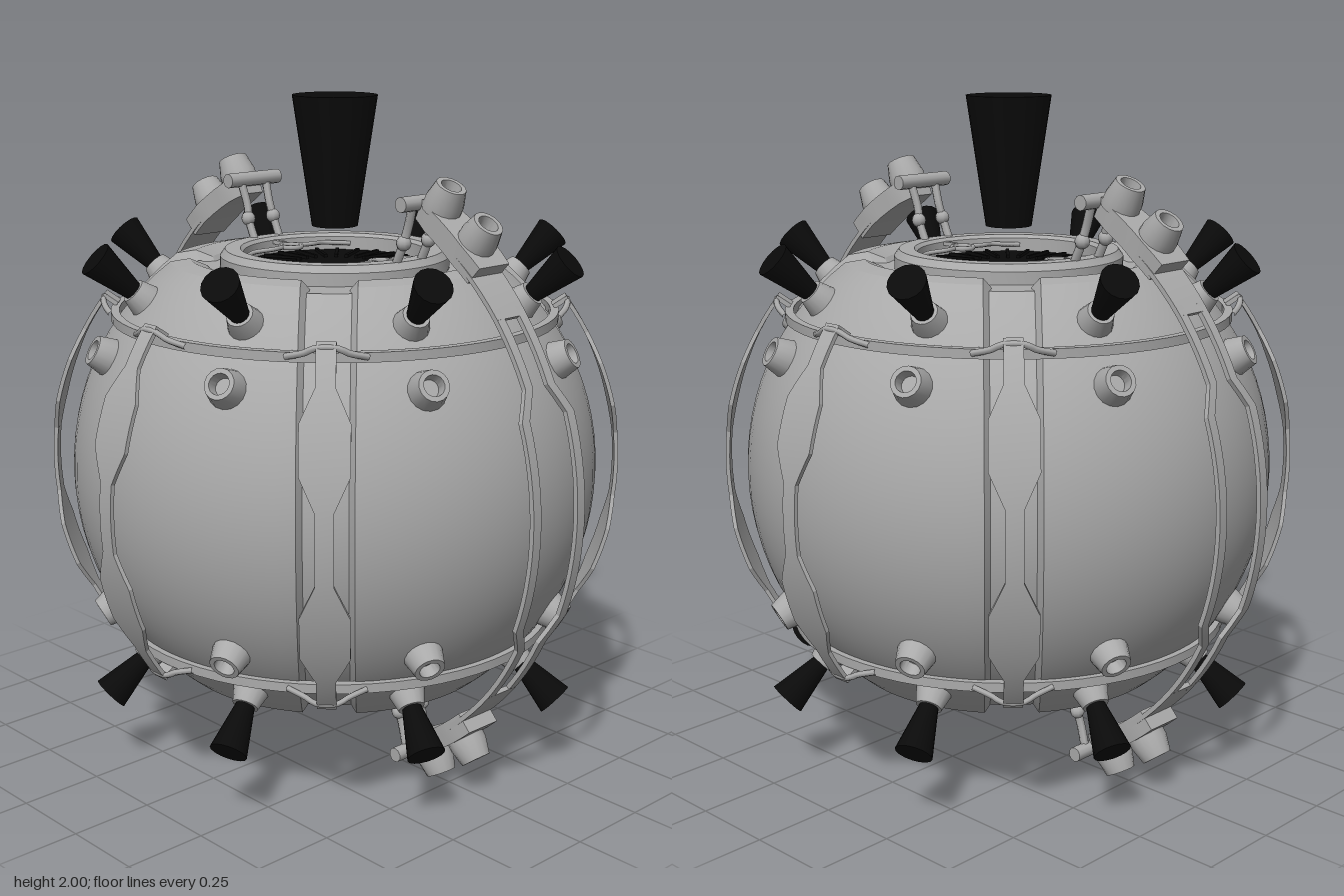
import * as THREE from 'three';
import { toCreasedNormals } from 'three/addons/utils/BufferGeometryUtils.js';

const rad = THREE.MathUtils.degToRad;
const V = (x, y, z) => new THREE.Vector3(x, y, z);

export function createModel() {
  const grey = new THREE.MeshStandardMaterial({ color: 0xaaaaaa });
  grey.name = 'grey metal';
  const black = new THREE.MeshStandardMaterial({ color: 0x0a0a0a });
  black.name = 'black';

  const model = new THREE.Group();
  model.name = 'sphericalCraft';
  const body = new THREE.Group();
  body.name = 'body';
  body.position.y = 0.9;
  model.add(body);

  const add = (parent, name, geo, mat = grey) => {
    const m = new THREE.Mesh(geo, mat);
    m.name = name;
    parent.add(m);
    return m;
  };
  const lathe = (pts, seg) =>
    toCreasedNormals(new THREE.LatheGeometry(pts.map(p => new THREE.Vector2(...p)), seg), 0.5);
  const tube = (pts, r, n = 16) =>
    new THREE.TubeGeometry(new THREE.CatmullRomCurve3(pts), n, r, 6);
  const fromArrays = (pos, idx, crease) => {
    const g = new THREE.BufferGeometry();
    g.setAttribute('position', new THREE.Float32BufferAttribute(pos, 3));
    g.setIndex(idx);
    return toCreasedNormals(g, crease);
  };

  // Curved strip: keys are [elevation, zMin, zMax], swept round a circle between two radii
  const strip = (r0, r1, keys) => {
    const pos = [], idx = [], secs = [];
    keys.forEach((k, i) => {
      if (i) {
        const p = keys[i - 1], n = Math.max(1, Math.ceil((k[0] - p[0]) / 3));
        for (let s = 1; s <= n; s++) secs.push(k.map((v, c) => p[c] + (v - p[c]) * s / n));
      } else secs.push(k);
    });
    secs.forEach(([e, z0, z1], i) => {
      const c = Math.cos(rad(e)), s = Math.sin(rad(e));
      for (const [r, z] of [[r0, z0], [r0, z1], [r1, z1], [r1, z0]]) pos.push(r * c, r * s, z);
      if (!i) return;
      for (let k = 0; k < 4; k++) {
        const a = (i - 1) * 4 + k, b = (i - 1) * 4 + (k + 1) % 4;
        idx.push(a, b, b + 4, a, b + 4, a + 4);
      }
    });
    const e = pos.length / 3 - 4;
    idx.push(0, 2, 1, 0, 3, 2, e, e + 1, e + 2, e, e + 2, e + 3);
    return fromArrays(pos, idx, 0.3);
  };

  // Inner hull with a collar at each pole
  const coreTop = [];
  for (let e = 0; e <= 52; e += 4) coreTop.push([0.765 * Math.cos(rad(e)), 0.765 * Math.sin(rad(e))]);
  coreTop.push([0.34, 0.598], [0.34, 0.635], [0.325, 0.655], [0.28, 0.655], [0.27, 0.645], [0.27, 0.58]);
  const mirrored = pts => [...pts.slice(1).reverse().map(([r, y]) => [r, -y]), ...pts];
  add(body, 'innerHull', lathe(mirrored(coreTop), 64));

  // Four raised hull panels with bevelled sides, separated by straight diagonal channels
  const panelTop = [];
  for (let e = 0; e <= 52; e += 4) panelTop.push([0.79 * Math.cos(rad(e)), 0.79 * Math.sin(rad(e))]);
  panelTop.push([0.43, 0.632], [0.38, 0.612], [0.36, 0.592]);
  const panelProfile = mirrored(panelTop);
  const pos = [], idx = [], cols = 20;
  panelProfile.forEach(([r, y], i) => {
    for (let j = 0; j <= cols; j++) {
      const edge = j === 0 || j === cols;
      const t = edge ? Math.sign(j - 1) : -1 + 2 * (j - 1) / (cols - 2);
      const a = t * (Math.PI / 4 - Math.asin((edge ? 0.058 : 0.078) / r));
      const s = edge ? 0.955 : 1;
      pos.push(r * s * Math.sin(a), y * s, r * s * Math.cos(a));
      if (i && j) {
        const d = i * (cols + 1) + j, c = d - 1, b = d - cols - 1, q = b - 1;
        idx.push(q, b, d, q, d, c);
      }
    }
  });
  const panelGeo = fromArrays(pos, idx, 0.35);
  for (let k = 0; k < 4; k++) add(body, 'hullPanel', panelGeo).rotation.y = k * Math.PI / 2;

  // Wavy outer struts on every direction except the two sides
  const halfWave = [[6.7, 0.025], [13.1, 0.068], [22.2, 0.068], [28.5, 0.027], [37, 0.027]];
  const wave = [...halfWave.map(([e, w]) => [-e, w]).reverse(), ...halfWave];
  const strutGeo = strip(0.848, 0.86, wave.map(([e, w]) => [e, -w, w]));
  const strutAngles = [45, 90, 135, 225, 270, 315].map(rad);
  for (const a of strutAngles) add(body, 'outerStrut', strutGeo).rotation.y = a;

  // Forked side arms: two rails that spread apart at the middle
  const rail = [[-40, 0.03, 0.06], [-25, 0.03, 0.06], [-19.5, 0.076, 0.107],
    [19.5, 0.076, 0.107], [25, 0.03, 0.06], [40, 0.03, 0.06]];
  for (const side of [0, Math.PI]) {
    const arm = new THREE.Group();
    arm.name = 'sideArm';
    arm.rotation.y = side;
    body.add(arm);
    add(arm, 'armRail', strip(0.873, 0.887, rail));
    add(arm, 'armRail', strip(0.873, 0.887, rail.map(([e, a, b]) => [e, -b, -a])));
  }

  // Shared nozzle and thruster shapes
  const nozzleGeo = lathe([[0.056, 0], [0.056, 0.035], [0.044, 0.085], [0.03, 0.085], [0.026, 0.05], [0, 0.05]], 16);
  const seatGeo = lathe([[0.056, 0], [0.054, 0.03], [0.038, 0.085], [0, 0.085]], 16);
  const bellGeo = new THREE.CylinderGeometry(0.055, 0.027, 0.15, 16);
  const radial = (parent, name, geo, angle, elev, dist, mat) => {
    const dir = V(Math.cos(elev) * Math.cos(angle), Math.sin(elev), Math.cos(elev) * Math.sin(angle));
    const m = add(parent, name, geo, mat);
    m.position.copy(dir).multiplyScalar(dist);
    m.quaternion.setFromUnitVectors(V(0, 1, 0), dir);
  };

  const ringGeo = lathe([[0.64, 0.455], [0.665, 0.455], [0.665, 0.482], [0.64, 0.482], [0.64, 0.455]], 64);
  const clipGeo = tube([V(0.655, 0.47, -0.11), V(0.68, 0.485, -0.06), V(0.69, 0.5, -0.03),
    V(0.69, 0.5, 0.03), V(0.68, 0.485, 0.06), V(0.655, 0.47, 0.11)], 0.009);

  // One polar half, used upright and turned over
  const buildHalf = name => {
    const half = new THREE.Group();
    half.name = name;
    body.add(half);
    add(half, 'girdleRing', ringGeo);

    // Eight black thrusters above the ring and eight open nozzles below it
    for (let k = 0; k < 8; k++) {
      const a = rad(22.5 + 45 * k);
      radial(half, 'thrusterSeat', seatGeo, a, rad(42.5), 0.75);
      radial(half, 'thrusterBell', bellGeo, a, rad(42.5), 0.905, black);
      radial(half, 'openNozzle', nozzleGeo, a, rad(28.5), 0.755);
    }

    // Strut ends clipped to the ring
    for (const a of strutAngles) {
      add(half, 'ringClip', clipGeo).rotation.y = a;
      const hook = new THREE.Group();
      hook.name = 'strutHook';
      hook.rotation.y = a;
      half.add(hook);
      const plate = add(hook, 'hookPlate', new THREE.BoxGeometry(0.05, 0.014, 0.052));
      plate.position.set(0.67, 0.498, 0);
      plate.rotation.z = 0.6;
    }

    // Polar port with radial fins
    const disc = add(half, 'portDisc', new THREE.CylinderGeometry(0.272, 0.272, 0.02, 48), black);
    disc.position.y = 0.595;
    for (let k = 0; k < 24; k++) {
      const fin = new THREE.BoxGeometry(0.13, 0.012, 0.01).translate(0.185, 0.608, 0);
      add(half, 'portFin', fin, black).rotation.y = k * Math.PI / 12;
    }

    for (const side of [0, Math.PI]) {
      const end = new THREE.Group();
      end.name = 'armEnd';
      end.rotation.y = side;
      half.add(end);
      // Arm plate and thick head with two nozzles
      add(end, 'armPlate', strip(0.873, 0.887, [[38, -0.06, 0.06], [52, -0.065, 0.065]]));
      add(end, 'armHead', strip(0.862, 0.925, [[47, -0.06, 0.06], [52, -0.065, 0.065], [61, -0.055, 0.055], [65, -0.035, 0.035]]));
      for (const e of [52.5, 62]) radial(end, 'armNozzle', nozzleGeo, 0, rad(e), 0.91);
      // Hinge bar and links to the collar
      const bar = add(end, 'hingeBar', new THREE.CylinderGeometry(0.022, 0.022, 0.2, 10));
      bar.position.set(0.37, 0.825, 0);
      bar.rotation.x = Math.PI / 2;
      for (const z of [-0.05, 0.05]) {
        add(end, 'hingeLink', tube([V(0.37, 0.825, z), V(0.345, 0.75, z * 0.9), V(0.33, 0.7, z), V(0.305, 0.645, z)], 0.013));
        add(end, 'linkJoint', new THREE.SphereGeometry(0.022, 10, 8)).position.set(0.335, 0.71, z);
      }
      // Wire brace with an eyelet across the port
      for (const s of [-1, 1])
        add(end, 'portBrace', tube([V(0.16, 0.625, s * 0.215), V(0.205, 0.63, s * 0.14), V(0.185, 0.635, s * 0.08), V(0.195, 0.635, s * 0.035)], 0.007));
      const eye = add(end, 'braceEyelet', new THREE.TorusGeometry(0.032, 0.008, 6, 16));
      eye.position.set(0.195, 0.635, 0);
      eye.rotation.x = Math.PI / 2;
      add(end, 'braceBar', new THREE.BoxGeometry(0.06, 0.012, 0.016)).position.set(0.255, 0.64, 0);
    }
    return half;
  };
  buildHalf('upperHalf');
  const lower = buildHalf('lowerHalf');
  lower.rotation.x = Math.PI;

  // Docking ring in the lower port
  const dock = add(lower, 'dockingRing', new THREE.TorusGeometry(0.1, 0.014, 8, 32));
  dock.position.y = 0.62;
  dock.rotation.x = Math.PI / 2;

  // Large funnel above the upper port
  add(body, 'topFunnel', new THREE.CylinderGeometry(0.125, 0.068, 0.38, 24), black).position.y = 0.91;

  return model;
}
